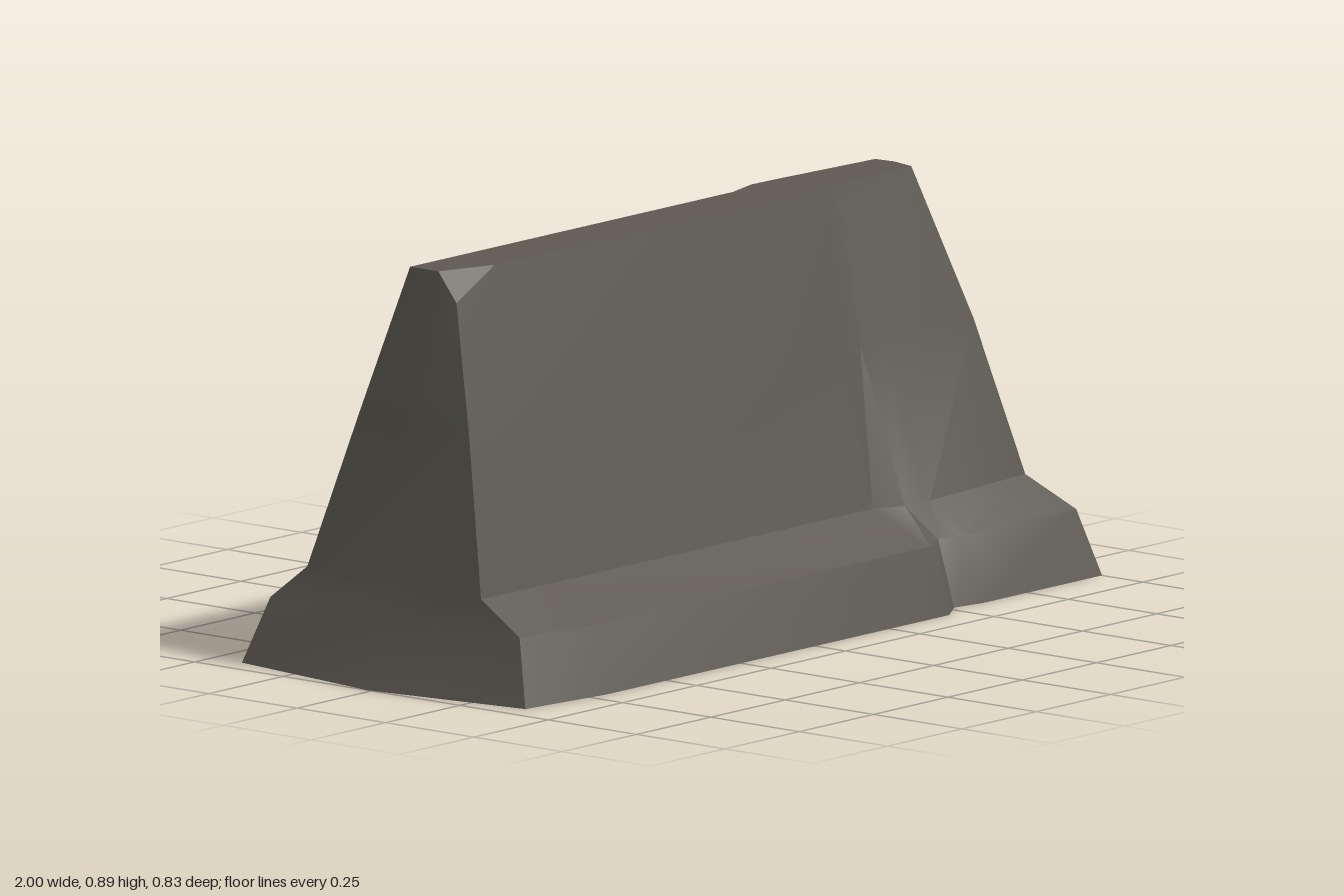
import * as THREE from 'three';
import { toCreasedNormals } from 'three/addons/utils/BufferGeometryUtils.js';

// Plan outlines [x, z], each running along the front (left to right on screen),
// round the +x end, back along the rear and round the -x end.
const levels = [
  { y: 0, plan: [[-0.94, 0.385], [-0.7, 0.415], [0.45, 0.415], [0.52, 0.37], [0.6, 0.385], [1, 0.385], [1, -0.01],
    [1, -0.417], [0.56, -0.417], [0.5, -0.417], [0.44, -0.417], [-0.7, -0.417], [-0.94, -0.417], [-1, -0.01]] },
  { y: 0.145, plan: [[-0.9, 0.335], [-0.69, 0.362], [0.45, 0.362], [0.52, 0.325], [0.59, 0.337], [0.97, 0.337], [0.97, -0.01],
    [0.97, -0.365], [0.58, -0.365], [0.51, -0.365], [0.45, -0.383], [-0.69, -0.385], [-0.9, -0.37], [-0.93, -0.01]] },
  { y: 0.217, plan: [[-0.905, 0.23], [-0.69, 0.232], [0.41, 0.232], [0.48, 0.265], [0.56, 0.268], [0.92, 0.235], [0.925, -0.01],
    [0.92, -0.263], [0.55, -0.263], [0.48, -0.248], [0.42, -0.265], [-0.65, -0.317], [-0.865, -0.295], [-0.905, -0.01]] },
  { y: 0.56, plan: [[-0.85, 0.15], [-0.67, 0.145], [0.4, 0.165], [0.46, 0.155], [0.54, 0.16], [0.855, 0.143], [0.867, -0.02],
    [0.855, -0.17], [0.52, -0.182], [0.44, -0.178], [0.385, -0.175], [-0.65, -0.198], [-0.83, -0.18], [-0.86, -0.01]] },
  { y: 0.892, plan: [[-0.79, 0.064], [-0.64, 0.046], [0.39, 0.083], [0.45, 0.053], [0.52, 0.045], [0.78, 0.03], [0.795, -0.03],
    [0.79, -0.08], [0.48, -0.1], [0.4, -0.103], [0.35, -0.08], [-0.64, -0.08], [-0.775, -0.08], [-0.775, 0]] },
];

function barrierGeometry() {
  const n = levels[0].plan.length;
  const last = levels.length - 1;
  const rings = levels.map(({ y, plan }) => plan.map(([x, z]) => new THREE.Vector3(x, y, z)));
  const top = rings[last];
  top[0].y = 0.832; // chipped top corner

  const pos = [];
  const tri = (...pts) => pts.forEach((p) => pos.push(p.x, p.y, p.z));

  // Sloping sides
  for (let k = 0; k < last; k++) {
    for (let i = 0; i < n; i++) {
      const j = (i + 1) % n;
      tri(rings[k][i], rings[k][j], rings[k + 1][j]);
      tri(rings[k][i], rings[k + 1][j], rings[k + 1][i]);
    }
  }
  // Flat top, plus the chip across its corner
  const topCentre = new THREE.Vector3(0, levels[last].y, 0);
  for (let i = 1; i < n; i++) tri(topCentre, top[i], top[i + 1] || top[1]);
  tri(top[n - 1], top[0], top[1]);
  // Underside
  const baseCentre = new THREE.Vector3();
  for (let i = 0; i < n; i++) tri(baseCentre, rings[0][(i + 1) % n], rings[0][i]);

  const geometry = new THREE.BufferGeometry();
  geometry.setAttribute('position', new THREE.Float32BufferAttribute(pos, 3));
  return toCreasedNormals(geometry, THREE.MathUtils.degToRad(28));
}

export function createModel() {
  const concrete = new THREE.MeshStandardMaterial({ color: 0x5d5952 });
  concrete.name = 'dark concrete';

  const barrier = new THREE.Mesh(barrierGeometry(), concrete);
  barrier.name = 'wornRoadBarrier';

  const model = new THREE.Group();
  model.name = 'roadBarrier';
  model.add(barrier);
  return model;
}
